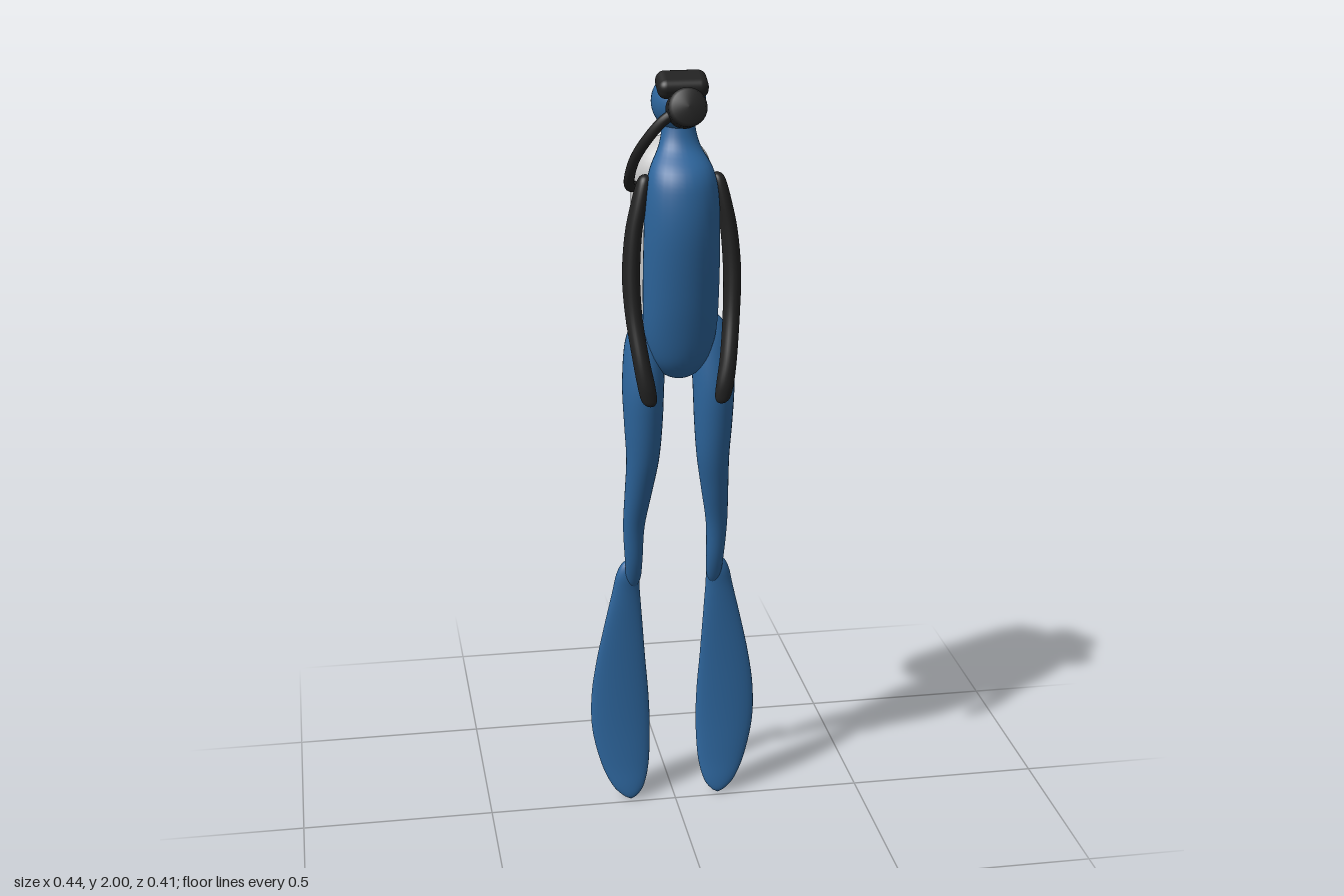
import * as THREE from 'three';
import { RoundedBoxGeometry } from 'three/addons/geometries/RoundedBoxGeometry.js';

const blue = new THREE.MeshStandardMaterial({ color: 0x2d659c });
const black = new THREE.MeshStandardMaterial({ color: 0x222222 });
const grey = new THREE.MeshStandardMaterial({ color: 0xcccccc });

// Smooth skin over elliptical cross-sections listed from top to bottom:
// [y, x centre, z centre, x radius, z radius]; side = -1 mirrors it
function loft(stations, side = 1, sides = 28, steps = 5) {
  const path = new THREE.CatmullRomCurve3(
    stations.map(([y, x, z]) => new THREE.Vector3(x * side, y, z)), false, 'catmullrom', 0.5);
  const size = new THREE.CatmullRomCurve3(
    stations.map(([, , , rx, rz]) => new THREE.Vector3(rx, rz, 0)), false, 'catmullrom', 0.5);
  const rows = (stations.length - 1) * steps;
  const positions = [], index = [];
  for (let i = 0; i <= rows; i++) {
    const p = path.getPoint(i / rows), r = size.getPoint(i / rows);
    for (let j = 0; j < sides; j++) {
      const a = (j / sides) * Math.PI * 2;
      positions.push(
        p.x + Math.cos(a) * Math.max(r.x, 0), p.y, p.z + Math.sin(a) * Math.max(r.y, 0));
      if (i === rows) continue;
      const k = (j + 1) % sides;
      const a0 = i * sides + j, b0 = i * sides + k, c0 = a0 + sides, d0 = b0 + sides;
      index.push(a0, b0, c0, b0, d0, c0);
    }
  }
  const geometry = new THREE.BufferGeometry();
  geometry.setAttribute('position', new THREE.Float32BufferAttribute(positions, 3));
  geometry.setIndex(index);
  geometry.computeVertexNormals();
  return geometry;
}

const torso = [
  [1.90, 0, 0.042, 0.038, 0.036], [1.855, 0, 0.045, 0.041, 0.037],
  [1.81, 0, 0.058, 0.052, 0.042], [1.76, 0, 0.086, 0.078, 0.066],
  [1.70, 0, 0.095, 0.09, 0.078], [1.60, 0, 0.094, 0.094, 0.083],
  [1.45, 0, 0.079, 0.095, 0.078], [1.35, 0, 0.069, 0.091, 0.068],
  [1.28, 0, 0.062, 0.075, 0.055], [1.24, 0, 0.058, 0.048, 0.036],
  [1.225, 0, 0.056, 0.025, 0.02], [1.22, 0, 0.055, 0, 0],
];
const leg = [
  [1.385, 0.075, 0.03, 0, 0], [1.375, 0.075, 0.03, 0.024, 0.024],
  [1.35, 0.078, 0.031, 0.042, 0.04], [1.30, 0.084, 0.035, 0.052, 0.051],
  [1.20, 0.09, 0.043, 0.053, 0.057], [1.10, 0.09, 0.043, 0.049, 0.051],
  [1.00, 0.091, 0.036, 0.042, 0.042], [0.90, 0.1, 0.016, 0.035, 0.035],
  [0.80, 0.109, -0.004, 0.028, 0.025], [0.70, 0.108, -0.017, 0.023, 0.018],
  [0.64, 0.107, -0.032, 0.018, 0.013], [0.61, 0.107, -0.036, 0, 0],
];
const fin = [
  [0.69, 0.118, -0.045, 0, 0], [0.68, 0.12, -0.044, 0.016, 0.013],
  [0.65, 0.121, -0.044, 0.03, 0.019], [0.60, 0.125, -0.046, 0.037, 0.017],
  [0.50, 0.133, -0.047, 0.052, 0.014], [0.40, 0.14, -0.049, 0.066, 0.015],
  [0.30, 0.143, -0.05, 0.077, 0.018], [0.20, 0.141, -0.046, 0.078, 0.019],
  [0.10, 0.132, -0.035, 0.064, 0.017], [0.04, 0.125, -0.023, 0.043, 0.013],
  [0.012, 0.121, -0.017, 0.02, 0.008], [0, 0.12, -0.015, 0, 0],
];
const arm = [
  [1.75, 0.088, 0.083, 0, 0], [1.742, 0.09, 0.083, 0.013, 0.016],
  [1.72, 0.095, 0.084, 0.018, 0.024], [1.67, 0.106, 0.085, 0.02, 0.029],
  [1.60, 0.119, 0.086, 0.021, 0.03], [1.50, 0.126, 0.092, 0.022, 0.03],
  [1.40, 0.122, 0.107, 0.021, 0.028], [1.30, 0.11, 0.139, 0.021, 0.025],
  [1.24, 0.1, 0.154, 0.022, 0.02], [1.20, 0.093, 0.158, 0.02, 0.014],
  [1.185, 0.09, 0.16, 0.012, 0.008], [1.18, 0.089, 0.16, 0, 0],
];

export function createModel() {
  const model = new THREE.Group();
  const add = (name, geometry, material) => {
    const mesh = new THREE.Mesh(geometry, material);
    mesh.name = name;
    model.add(mesh);
    return mesh;
  };

  // Body in a blue suit
  add('torso', loft(torso), blue);
  const head = add('head', new THREE.SphereGeometry(0.067, 32, 24), blue);
  head.scale.set(1, 1.06, 1.06);
  head.position.set(0, 1.917, 0.043);

  // Limbs and fins, mirrored
  for (const [label, side] of [['left', 1], ['right', -1]]) {
    add(label + 'Leg', loft(leg, side), blue);
    add(label + 'Fin', loft(fin, side), blue);
    add(label + 'Arm', loft(arm, side), black);
  }

  // Air tank, leaning in at the top
  const tank = add('airTank', new THREE.CapsuleGeometry(0.094, 0.402, 12, 28), grey);
  tank.scale.set(1.07, 1, 1);
  tank.position.set(0, 1.52, -0.09);
  tank.rotation.x = 0.11;

  // Mask, tilted up towards the back
  const mask = add('mask', new RoundedBoxGeometry(0.124, 0.05, 0.078, 4, 0.022), black);
  mask.position.set(0, 1.966, 0.092);
  mask.rotation.x = 0.4;

  // Mouthpiece: a short drum with bevelled rims
  const drum = [[0, -0.04], [0.038, -0.04], [0.046, -0.03], [0.047, 0.022], [0.04, 0.037], [0, 0.04]]
    .map(([r, h]) => new THREE.Vector2(r, h));
  const mouthpiece = add('mouthpiece', new THREE.LatheGeometry(drum, 28), black);
  mouthpiece.position.set(0, 1.921, 0.156);
  mouthpiece.rotation.x = Math.PI / 2 - 0.3;

  // Hose from the mouthpiece round the right shoulder to the tank
  const hose = new THREE.CatmullRomCurve3([
    [-0.02, 1.915, 0.15], [-0.055, 1.89, 0.147], [-0.092, 1.84, 0.125],
    [-0.115, 1.785, 0.085], [-0.121, 1.73, 0.04], [-0.112, 1.7, -0.005], [-0.085, 1.69, -0.05],
  ].map((p) => new THREE.Vector3(...p)));
  add('hose', new THREE.TubeGeometry(hose, 48, 0.013, 14), black);

  return model;
}
